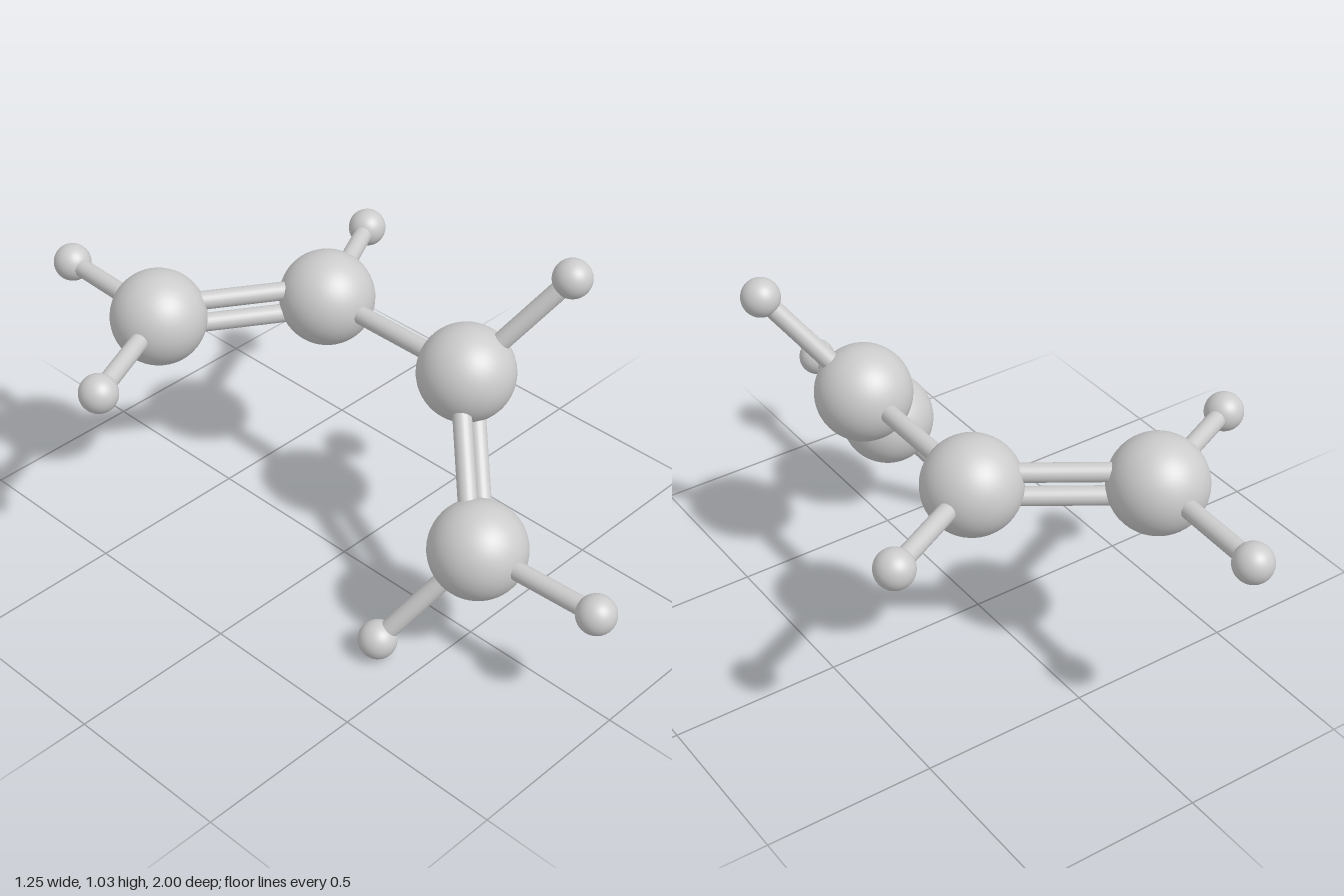
import * as THREE from 'three';

const material = new THREE.MeshStandardMaterial({ color: 0xcccccc });
const BOND_RADIUS = 0.027;
const BOND_OFFSET = 0.038;

// Atom centres: four large carbons in a bent chain, six small hydrogens
const v = (x, y, z) => new THREE.Vector3(x, y, z);
const carbons = [
  v(-0.205, 0.687, -0.542),
  v(0.205, 0.687, -0.27),
  v(0.205, 0.687, 0.27),
  v(-0.037, 0.357, 0.542),
];
const hydrogens = [
  { carbon: 0, at: v(-0.568, 0.687, -0.378) },
  { carbon: 0, at: v(-0.19, 0.687, -0.944) },
  { carbon: 1, at: v(0.565, 0.687, -0.455) },
  { carbon: 2, at: v(0.415, 0.978, 0.45) },
  { carbon: 3, at: v(-0.25, 0.06, 0.374) },
  { carbon: 3, at: v(-0.028, 0.368, 0.944) },
];

function atom(name, centre, radius) {
  const mesh = new THREE.Mesh(new THREE.SphereGeometry(radius, 48, 32), material);
  mesh.name = name;
  mesh.position.copy(centre);
  return mesh;
}

// Round rod between two points
function rod(name, a, b) {
  const dir = b.clone().sub(a);
  const geometry = new THREE.CylinderGeometry(BOND_RADIUS, BOND_RADIUS, dir.length(), 24);
  const mesh = new THREE.Mesh(geometry, material);
  mesh.name = name;
  mesh.position.copy(a).add(b).multiplyScalar(0.5);
  mesh.quaternion.setFromUnitVectors(v(0, 1, 0), dir.normalize());
  return mesh;
}

// Two parallel rods, spread along the normal of the plane through a, b and c
function doubleBond(name, a, b, c) {
  const group = new THREE.Group();
  group.name = name;
  const normal = b.clone().sub(a).cross(c.clone().sub(a)).normalize();
  for (const side of [-1, 1]) {
    const shift = normal.clone().multiplyScalar(side * BOND_OFFSET);
    group.add(rod('doubleBondRod', a.clone().add(shift), b.clone().add(shift)));
  }
  return group;
}

export function createModel() {
  const model = new THREE.Group();
  model.name = 'moleculeModel';

  carbons.forEach((c, i) => model.add(atom(`carbonAtom${i + 1}`, c, 0.14)));

  // Hydrogens with their single bonds
  hydrogens.forEach(({ carbon, at }, i) => {
    model.add(atom(`hydrogenAtom${i + 1}`, at, 0.056));
    model.add(rod(`hydrogenBond${i + 1}`, carbons[carbon], at));
  });

  // Carbon chain: double, single, double
  model.add(doubleBond('backDoubleBond', carbons[1], carbons[0], hydrogens[2].at));
  model.add(rod('middleBond', carbons[1], carbons[2]));
  model.add(doubleBond('frontDoubleBond', carbons[2], carbons[3], hydrogens[3].at));

  return model;
}
